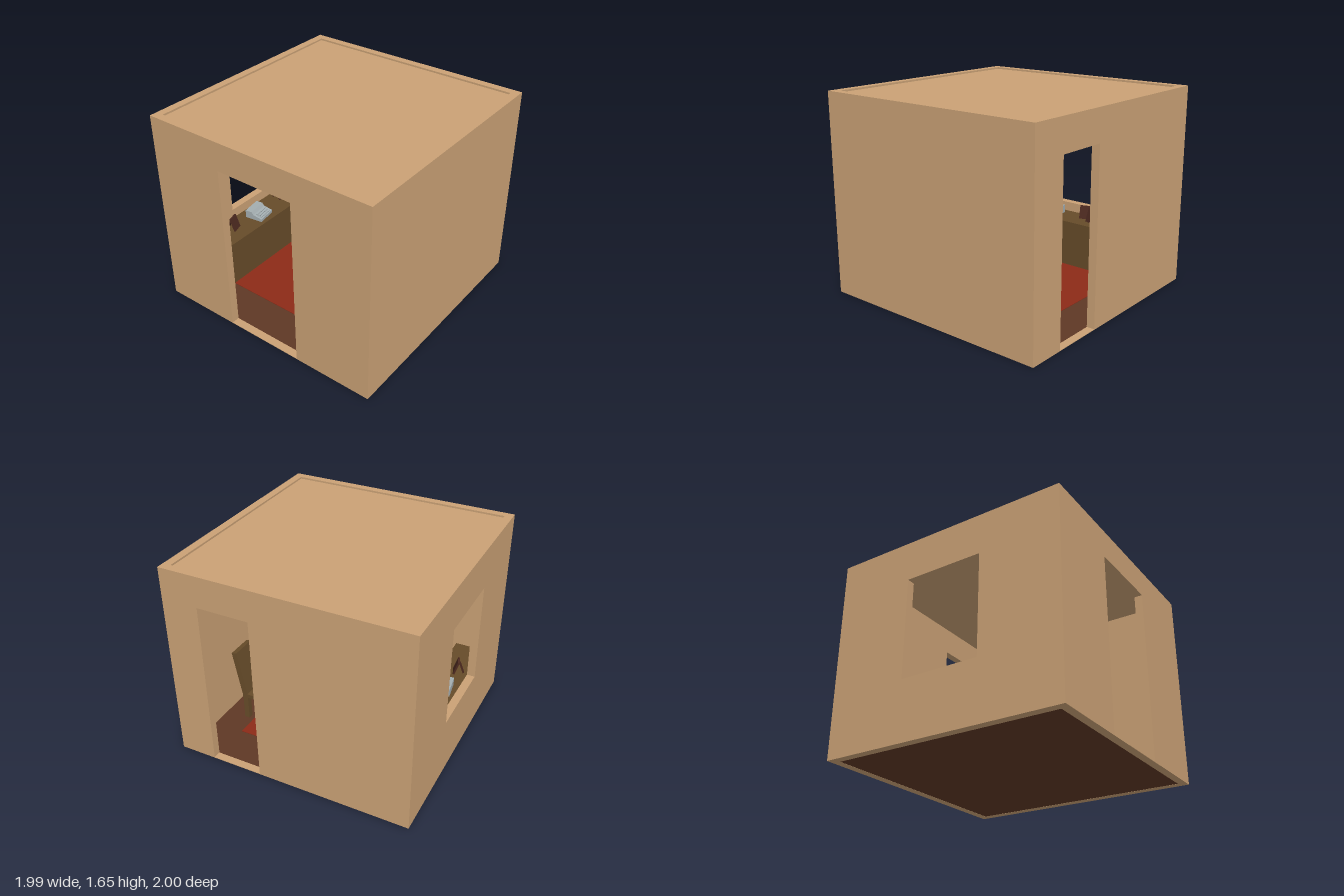
import * as THREE from 'three';

const mat = (color) => new THREE.MeshStandardMaterial({ color, flatShading: true, side: THREE.DoubleSide });
const plaster = mat(0xcaa175), floorBrown = mat(0x5f3825), red = mat(0x8c2a17);
const wood = mat(0x664b29), darkWood = mat(0x4c291f), grey = mat(0xa3adb0);

const W = 0.995, H = 1.655, T = 0.066, FRONT = 1, BACK = -0.998;

function mesh(parent, name, geometry, material, x = 0, y = 0, z = 0) {
  const m = new THREE.Mesh(geometry, material);
  m.name = name;
  m.position.set(x, y, z);
  parent.add(m);
  return m;
}

// Box given by its minimum and maximum corners
function block(parent, name, material, x0, x1, y0, y1, z0, z1) {
  return mesh(parent, name, new THREE.BoxGeometry(x1 - x0, y1 - y0, z1 - z0), material,
    (x0 + x1) / 2, (y0 + y1) / 2, (z0 + z1) / 2);
}

function rect(Type, x0, x1, y0, y1) {
  const p = new Type();
  p.moveTo(x0, y0);
  p.lineTo(x1, y0);
  p.lineTo(x1, y1);
  p.lineTo(x0, y1);
  p.closePath();
  return p;
}

// Wall slab with an optional rectangular opening [x0, x1, y0, y1]
function wallGeometry(halfWidth, opening) {
  const shape = rect(THREE.Shape, -halfWidth, halfWidth, 0, H);
  if (opening) shape.holes.push(rect(THREE.Path, ...opening));
  return new THREE.ExtrudeGeometry(shape, { depth: T, bevelEnabled: false });
}

// Standing photo frame: leaning board with a strut behind it
function photoFrame(parent, x, z, turn) {
  const g = new THREE.Group();
  g.name = 'photoFrame';
  const board = mesh(g, 'frameBoard', new THREE.BoxGeometry(0.015, 0.12, 0.09), darkWood, 0.01, 0.06, 0);
  board.rotation.z = 0.3;
  const strut = mesh(g, 'frameStrut', new THREE.BoxGeometry(0.01, 0.1, 0.03), darkWood, -0.035, 0.048, 0);
  strut.rotation.z = -0.35;
  g.position.set(x, 0.41, z);
  g.rotation.y = turn;
  parent.add(g);
}

function desk() {
  const g = new THREE.Group();
  g.name = 'desk';
  block(g, 'deskTop', wood, -0.928, -0.655, 0.385, 0.41, -0.85, 0.85);
  block(g, 'deskFront', wood, -0.68, -0.66, 0.01, 0.385, -0.83, 0.83);
  for (const s of [-1, 1]) {
    mesh(g, 'deskSide', new THREE.BoxGeometry(0.24, 0.375, 0.02), wood, -0.8, 0.1975, s * 0.82);
  }
  photoFrame(g, -0.83, -0.16, 0.3);
  photoFrame(g, -0.77, -0.27, -0.3);
  photoFrame(g, -0.81, 0.44, 0.3);

  // Small grey desk machine: sloped body, raised back and key rows
  const machine = new THREE.Group();
  machine.name = 'deskMachine';
  const side = new THREE.Shape();
  side.moveTo(-0.08, 0);
  side.lineTo(0.08, 0);
  side.lineTo(0.08, 0.025);
  side.lineTo(0, 0.045);
  side.lineTo(-0.02, 0.07);
  side.lineTo(-0.08, 0.07);
  const body = new THREE.ExtrudeGeometry(side, { depth: 0.17, bevelEnabled: false });
  mesh(machine, 'machineBody', body, grey, 0, 0, -0.085);
  for (let i = 0; i < 3; i++) {
    const row = mesh(machine, 'keyRow', new THREE.BoxGeometry(0.014, 0.012, 0.13), grey, 0.018 + i * 0.022, 0.042 - i * 0.0055, 0);
    row.rotation.z = -0.24;
  }
  machine.position.set(-0.78, 0.41, 0.16);
  machine.rotation.y = 0.15;
  g.add(machine);
  return g;
}

// Chair by the left wall, facing the desk
function chair() {
  const g = new THREE.Group();
  g.name = 'chair';
  block(g, 'seat', wood, -0.26, 0, 0.22, 0.255, -0.11, 0.11);
  for (const x of [-0.235, -0.025]) {
    for (const z of [-0.085, 0.085]) {
      mesh(g, 'chairLeg', new THREE.BoxGeometry(0.045, 0.22, 0.045), wood, x, 0.115, z);
    }
  }
  const backrest = mesh(g, 'backrest', new THREE.BoxGeometry(0.045, 0.4, 0.22), wood, 0.015, 0.445, 0);
  backrest.rotation.z = -0.19;
  g.position.set(0.76, 0, -0.34);
  return g;
}

export function createModel() {
  const room = new THREE.Group();
  room.name = 'room';

  // Walls with a front doorway, a back doorway and a window on the right
  mesh(room, 'frontWall', wallGeometry(W, [-0.333, 0.333, 0.005, 1.42]), plaster, 0, 0, FRONT - T);
  mesh(room, 'backWall', wallGeometry(W, [0.265, 0.69, 0.005, 1.4]), plaster, 0, 0, BACK);
  const half = 1 - T;
  const right = mesh(room, 'rightWall', wallGeometry(half, [-0.33, 0.33, 0.49, 1.32]), plaster, -W, 0, 0);
  right.rotation.y = Math.PI / 2;
  const left = mesh(room, 'leftWall', wallGeometry(half), plaster, W - T, 0, 0);
  left.rotation.y = Math.PI / 2;

  // Thin roof sunk just below the wall tops, floor and rug
  const inX = W - T, inZ = 1 - T;
  block(room, 'roof', plaster, -inX, inX, 1.632, 1.64, -inZ, inZ);
  block(room, 'floor', floorBrown, -inX, inX, 0.001, 0.006, -inZ, inZ);
  block(room, 'rug', red, -0.67, 0.67, 0.006, 0.01, -0.63, 0.63);

  room.add(desk(), chair());

  // Peg rail inside the front wall
  block(room, 'pegRail', darkWood, -0.85, -0.43, 0.89, 0.92, 0.915, inZ);
  for (let i = 0; i < 5; i++) {
    mesh(room, 'peg', new THREE.BoxGeometry(0.03, 0.05, 0.04), darkWood, -0.46 - i * 0.09, 0.88, 0.9);
  }
  return room;
}
